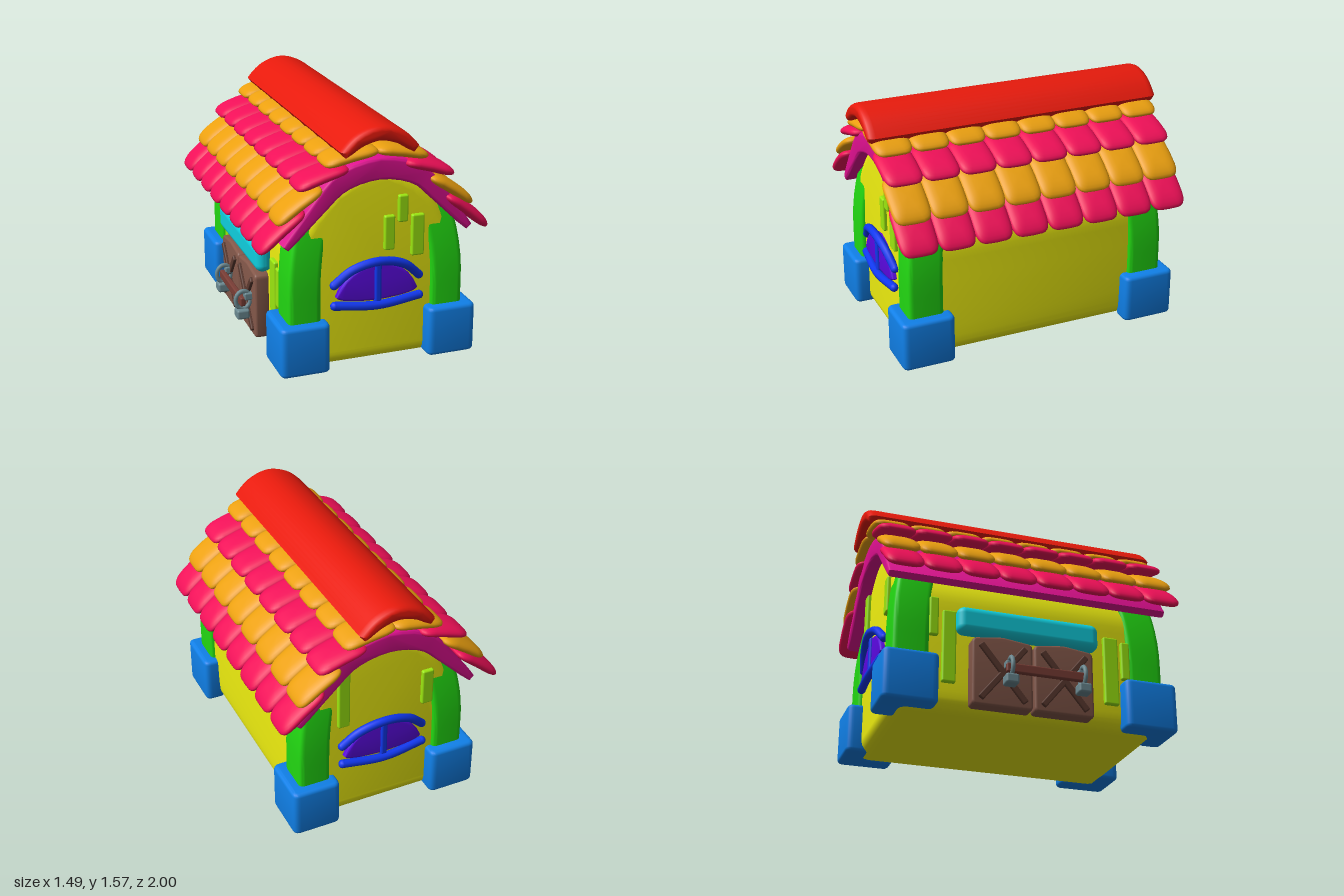
import * as THREE from 'three';
import { mergeVertices, toCreasedNormals } from 'three/addons/utils/BufferGeometryUtils.js';
import { RoundedBoxGeometry } from 'three/addons/geometries/RoundedBoxGeometry.js';

const paint = (color) => new THREE.MeshStandardMaterial({ color });
const MAT = {
  wall: paint(0xf0f010), pillar: paint(0x22d812), foot: paint(0x1080e8), frame: paint(0x1038f0),
  glass: paint(0x5a08e0), brick: paint(0x9ce810), canopy: paint(0x10d0e0), pink: paint(0xe01090),
  tileRed: paint(0xf01058), tileOrange: paint(0xeba010), ridge: paint(0xe81a0c),
  door: paint(0x84584a), brace: paint(0x5c3a30), bar: paint(0x7a3e36), metal: paint(0x6c8a92),
};
const V2 = (x, y) => new THREE.Vector2(x, y);

function add(parent, name, geometry, material, x = 0, y = 0, z = 0) {
  const mesh = new THREE.Mesh(geometry, material);
  mesh.name = name;
  mesh.position.set(x, y, z);
  parent.add(mesh);
  return mesh;
}

// Extrusion centred on z whose bevel is included in the total depth
function extrude(shape, depth, bevel, bevelZ = bevel, offset = 0, steps = 1) {
  const g = new THREE.ExtrudeGeometry(shape, {
    depth: depth - 2 * bevelZ, steps, bevelEnabled: true, bevelSize: bevel, bevelThickness: bevelZ,
    bevelOffset: offset, bevelSegments: 4, curveSegments: 6,
  });
  g.translate(0, 0, -(depth - 2 * bevelZ) / 2);
  return g;
}

// Mirrored half profile, given from the middle outwards
const mirrored = (half) => [...half.slice(1).reverse().map(([x, y]) => V2(-x, y)), ...half.map(([x, y]) => V2(x, y))];

// Arched band of changing thickness along a symmetric line
function archBand(half, midThick, endThick, depth, bevel, bevelZ) {
  const curve = new THREE.SplineCurve(mirrored(half));
  const outer = [], inner = [], n = 20;
  for (let i = 0; i <= n; i++) {
    const u = i / n, p = curve.getPoint(u), t = curve.getTangent(u);
    const h = THREE.MathUtils.lerp(midThick, endThick, Math.pow(Math.abs(2 * u - 1), 2)) / 2 - bevel;
    outer.push(V2(p.x - t.y * h, p.y + t.x * h));
    inner.unshift(V2(p.x + t.y * h, p.y - t.x * h));
  }
  return toCreasedNormals(extrude(new THREE.Shape([...outer, ...inner]), depth, bevel, bevelZ), 0.8);
}

// Polygon with rounded corners
function roundPoly(points, r) {
  const s = new THREE.Shape(), n = points.length;
  points.forEach((p, i) => {
    const a = points[(i + n - 1) % n], b = points[(i + 1) % n];
    const p0 = p.clone().add(a.clone().sub(p).setLength(r)), p1 = p.clone().add(b.clone().sub(p).setLength(r));
    if (i) s.lineTo(p0.x, p0.y); else s.moveTo(p0.x, p0.y);
    s.quadraticCurveTo(p.x, p.y, p1.x, p1.y);
  });
  s.closePath();
  return s;
}

// Puffy cushion: a sphere squared off in plan and slightly arched along x
function cushion(w, h, d) {
  let g = new THREE.SphereGeometry(1, 28, 12);
  g.deleteAttribute('uv');
  g.deleteAttribute('normal');
  g = mergeVertices(g, 1e-4);
  const p = g.attributes.position;
  const sq = (c) => Math.sign(c) * Math.pow(Math.abs(c), 0.45);
  for (let i = 0; i < p.count; i++) {
    const r = Math.hypot(p.getX(i), p.getZ(i)) || 1e-6;
    const k = Math.pow(r, 0.6), x = sq(p.getX(i) / r) * k;
    p.setXYZ(i, x * w / 2, p.getY(i) * h / 2 - 0.012 * x * x, sq(p.getZ(i) / r) * k * d / 2);
  }
  g.computeVertexNormals();
  return g;
}

// Round bar through points, with ball ends
function roundBar(parent, name, points, r) {
  const pts = points.map((p) => new THREE.Vector3(...p));
  add(parent, name, new THREE.TubeGeometry(new THREE.CatmullRomCurve3(pts), 20, r, 10), MAT.frame);
  for (const p of [pts[0], pts[pts.length - 1]]) add(parent, name + 'End', new THREE.SphereGeometry(r, 12, 8), MAT.frame, p.x, p.y, p.z);
}

function makeWindow() {
  const g = new THREE.Group();
  const pane = new THREE.Shape();
  pane.moveTo(-0.27, 0.47);
  pane.quadraticCurveTo(-0.2, 0.65, 0, 0.67);
  pane.quadraticCurveTo(0.2, 0.65, 0.27, 0.47);
  pane.quadraticCurveTo(0.25, 0.43, 0, 0.42);
  pane.quadraticCurveTo(-0.25, 0.43, -0.27, 0.47);
  add(g, 'windowPane', toCreasedNormals(extrude(pane, 0.07, 0.015, 0.015, -0.015), 0.7), MAT.glass, 0, 0, 0.86);
  roundBar(g, 'windowArch', [[-0.28, 0.55, 0.875], [-0.17, 0.645, 0.9], [0, 0.688, 0.915], [0.17, 0.645, 0.9], [0.28, 0.55, 0.875]], 0.028);
  roundBar(g, 'windowSill', [[-0.28, 0.417, 0.885], [0, 0.395, 0.905], [0.28, 0.417, 0.885]], 0.028);
  add(g, 'windowMullion', new RoundedBoxGeometry(0.045, 0.26, 0.05, 2, 0.015), MAT.frame, 0, 0.54, 0.885);
  return g;
}

export function createModel() {
  const model = new THREE.Group();
  model.name = 'house';
  const house = new THREE.Group();
  house.name = 'walls';
  house.position.set(0.025, 0, 0.008);
  model.add(house);

  // Walls with soft edges and arched top
  const side = [[0.46, 0], [0.52, 0.04], [0.545, 0.14], [0.548, 0.6], [0.53, 0.82], [0.4, 1.04], [0.22, 1.2], [0, 1.27]];
  const outline = new THREE.SplineCurve([...side.map(([x, y]) => V2(x, y)), ...side.slice(0, -1).reverse().map(([x, y]) => V2(-x, y))]);
  add(house, 'body', toCreasedNormals(extrude(new THREE.Shape(outline.getPoints(64)), 1.72, 0.08, 0.08, -0.08), 0.7), MAT.wall);

  // Corner pillars and their feet
  for (const sx of [-1, 1]) for (const sz of [-1, 1]) {
    const plan = (list) => list.map(([x, z]) => V2(sx * x, -sz * z));
    const pillar = extrude(roundPoly(plan([[0.365, 0.655], [0.575, 0.655], [0.575, 0.89], [0.365, 0.89]]), 0.035), 1.06, 0.005, 0.005, -0.005, 12);
    pillar.rotateX(-Math.PI / 2).translate(0, 0.56, 0);
    const p = pillar.attributes.position;
    for (let i = 0; i < p.count; i++) {
      const y = p.getY(i), lean = Math.max(0, y - 0.5) ** 2;
      const x = p.getX(i) - sx * 0.3 * lean;
      p.setXYZ(i, x, Math.min(y, 1.52 - 1.08 * Math.abs(x)), p.getZ(i) - sz * 0.22 * lean);
    }
    add(house, 'pillar', toCreasedNormals(pillar, 0.7), MAT.pillar);

    const foot = extrude(roundPoly(plan([[0.325, 0.8], [0.325, 0.957], [0.645, 0.957], [0.645, 0.605], [0.5, 0.605], [0.5, 0.8]]), 0.045), 0.325, 0.025, 0.025, -0.025);
    foot.rotateX(-Math.PI / 2).translate(0, 0.17, 0);
    add(house, 'foot', toCreasedNormals(foot, 0.7), MAT.foot);
  }

  // Windows on both gable ends
  for (const turn of [0, Math.PI]) {
    const w = makeWindow();
    w.name = turn ? 'backWindow' : 'frontWindow';
    w.rotation.y = turn;
    house.add(w);
  }

  // Loose bricks: [x, y, width, height, z] on the gables, [z, y, width, height] on the door side
  for (const [x, y, w, h, z] of [[0.08, 0.85, 0.07, 0.225, 0.86], [0.168, 0.998, 0.065, 0.175, 0.86], [0.268, 0.815, 0.085, 0.27, 0.86],
    [0.27, 0.9, 0.08, 0.4, -0.86], [-0.31, 0.83, 0.08, 0.25, -0.86]]) {
    add(house, 'brick', new RoundedBoxGeometry(w, h, 0.05, 2, 0.012), MAT.brick, x, y, z);
  }
  for (const [z, y, w, h] of [[-0.53, 0.42, 0.09, 0.48], [-0.63, 0.61, 0.06, 0.26], [0.54, 0.4, 0.1, 0.46], [0.64, 0.48, 0.06, 0.26]]) {
    add(house, 'brick', new RoundedBoxGeometry(0.05, h, w, 2, 0.012), MAT.brick, -0.55, y, z);
  }

  // Double doors with crossed braces, under a canopy
  const doors = new THREE.Group();
  doors.name = 'doors';
  model.add(doors);
  add(doors, 'canopy', new RoundedBoxGeometry(0.11, 0.18, 0.93, 5, 0.05), MAT.canopy, -0.56, 0.59, -0.02);
  for (const s of [-1, 1]) {
    const leaf = [[-0.195, 0.03], [0.195, 0.03], [0.195, 0.47], [0, 0.495], [-0.195, 0.47]].map(([x, y]) => V2(x, y));
    const panel = add(doors, 'doorLeaf', toCreasedNormals(extrude(roundPoly(leaf, 0.03), 0.1, 0.015, 0.015, -0.015), 0.7), MAT.door, -0.565, 0, s * 0.2);
    panel.rotation.y = -Math.PI / 2;
    for (const tilt of [-0.68, 0.68]) {
      add(doors, 'doorBrace', new RoundedBoxGeometry(0.025, 0.46, 0.04, 2, 0.008), MAT.brace, -0.622, 0.25, s * 0.2).rotation.x = tilt;
    }
  }
  // Locking bar with padlocks
  add(doors, 'lockBar', new RoundedBoxGeometry(0.035, 0.06, 0.52, 2, 0.01), MAT.bar, -0.675, 0.265, 0.06);
  for (const z of [-0.17, 0.3]) {
    add(doors, 'barBracket', new RoundedBoxGeometry(0.06, 0.05, 0.05, 2, 0.01), MAT.metal, -0.635, 0.3, z);
    add(doors, 'shackle', new THREE.TorusGeometry(0.05, 0.014, 8, 20), MAT.metal, -0.67, 0.275, z).scale.y = 1.2;
    add(doors, 'padlock', new RoundedBoxGeometry(0.085, 0.065, 0.085, 3, 0.015), MAT.metal, -0.678, 0.185, z);
  }

  // Arched roof shell
  const roof = new THREE.Group();
  roof.name = 'roof';
  model.add(roof);
  add(roof, 'roofShell', archBand([[0, 1.28], [0.24, 1.22], [0.4, 1.065], [0.585, 0.855]], 0.14, 0.05, 1.86, 0.02, 0.02), MAT.pink, 0.025);

  // Tile rows: outer tip, inner end, material
  const rows = [
    [0.75, 0.84, 0.46, 1.075, MAT.tileRed], [0.64, 1.01, 0.35, 1.205, MAT.tileOrange],
    [0.51, 1.215, 0.18, 1.315, MAT.tileRed], [0.335, 1.345, -0.01, 1.41, MAT.tileOrange],
  ];
  for (const [x0, y0, x1, y1, mat] of rows) {
    const tile = cushion(Math.hypot(x0 - x1, y0 - y1), 0.075, 0.25);
    for (const s of [-1, 1]) for (let i = 0; i < 8; i++) {
      const m = add(roof, 'tile', tile, mat, s * (x0 + x1) / 2, (y0 + y1) / 2, (i - 3.5) * 0.2435);
      m.rotation.z = s * Math.atan2(y0 - y1, x0 - x1);
    }
  }

  // Ridge cap
  add(roof, 'ridgeCap', archBand([[0, 1.517], [0.12, 1.485], [0.212, 1.418]], 0.096, 0.064, 2, 0.028, 0.05), MAT.ridge);
  return model;
}
